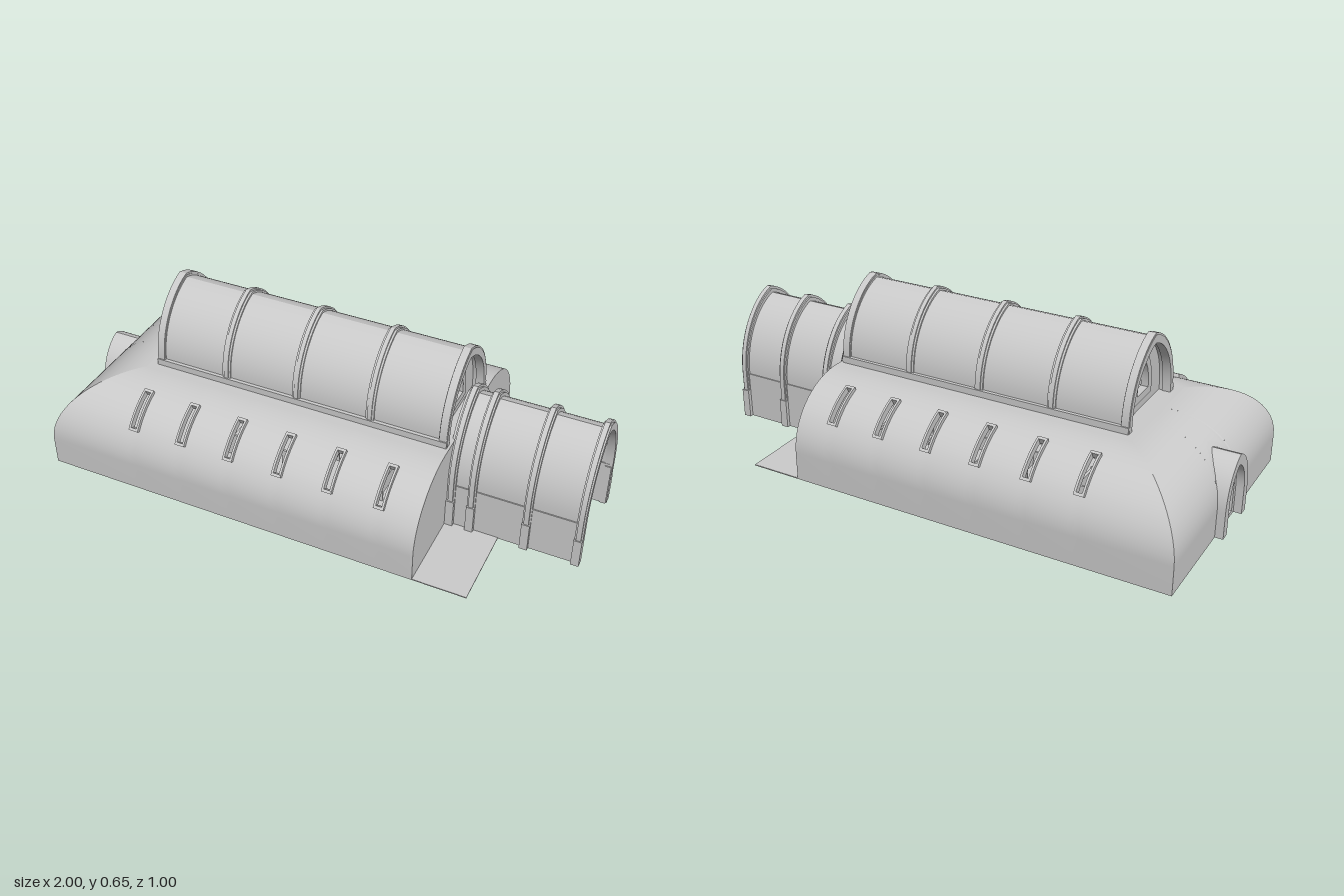
import * as THREE from 'three';
import { toCreasedNormals } from 'three/addons/utils/BufferGeometryUtils.js';

const mat = new THREE.MeshStandardMaterial({ color: 0xcccccc, side: THREE.DoubleSide });

function add(parent, name, geometry) {
  const mesh = new THREE.Mesh(geometry, mat);
  mesh.name = name;
  parent.add(mesh);
  return mesh;
}

// Box given by its limits on each axis
function box(parent, name, x0, x1, y0, y1, z0, z1) {
  const g = new THREE.BoxGeometry(x1 - x0, y1 - y0, z1 - z0);
  g.translate((x0 + x1) / 2, (y0 + y1) / 2, (z0 + z1) / 2);
  return add(parent, name, g);
}

// Half of a pointed arch, from springing line to apex
function halfArch(w, spring, apex, n = 14) {
  const h = apex - spring;
  return new THREE.CubicBezierCurve(
    new THREE.Vector2(w, spring), new THREE.Vector2(w, spring + 0.55 * h),
    new THREE.Vector2(w * 0.47, apex - 0.08 * h), new THREE.Vector2(0, apex)).getPoints(n);
}

// Whole pointed arch outline, standing on base
function arch(w, spring, apex, base = spring) {
  const half = halfArch(w, spring, apex);
  const right = base < spring ? [new THREE.Vector2(w, base), ...half] : half;
  const left = right.slice(0, -1).reverse().map(p => new THREE.Vector2(-p.x, p.y));
  return [...right, ...left];
}

// Extrude a (z, y) outline along x
function extrudeX(parent, name, pts, x0, x1, holes = []) {
  const shape = new THREE.Shape(pts.map(p => new THREE.Vector2(-p.x, p.y)));
  for (const h of holes) shape.holes.push(new THREE.Path(h.map(p => new THREE.Vector2(-p.x, p.y))));
  const g = new THREE.ExtrudeGeometry(shape, { depth: x1 - x0, bevelEnabled: false });
  g.rotateY(Math.PI / 2).translate(x0, 0, 0);
  return add(parent, name, toCreasedNormals(g, 0.5));
}

const archBand = (parent, name, outer, inner, x0, x1) =>
  extrudeX(parent, name, [...arch(...outer), ...arch(...inner).reverse()], x0, x1);

const rect = (z0, z1, y0, y1) =>
  [[z0, y0], [z1, y0], [z1, y1], [z0, y1]].map(p => new THREE.Vector2(...p));

// Smooth sheet from rows of points, with optional cells left out
function sheet(parent, name, nu, nv, at, skip = () => false) {
  const pos = [], idx = [];
  for (let i = 0; i <= nu; i++) for (let j = 0; j <= nv; j++) pos.push(...at(i, j));
  for (let i = 0; i < nu; i++) for (let j = 0; j < nv; j++) {
    if (skip(i, j)) continue;
    const a = i * (nv + 1) + j, b = a + nv + 1;
    idx.push(a, b, a + 1, b, b + 1, a + 1);
  }
  const g = new THREE.BufferGeometry();
  g.setAttribute('position', new THREE.Float32BufferAttribute(pos, 3));
  g.setIndex(idx);
  g.computeVertexNormals();
  return add(parent, name, g);
}

// Hall section: upright wall, then a quarter ellipse up to the flat roof
const BACK = -0.97, FRONT = 0.5, HALF = 0.5, WALL = 0.11, TOP = 0.355, RUN = 0.27, RISE = TOP - WALL;
const inset = y => y <= WALL ? 0 : RUN * (1 - Math.sqrt(Math.max(0, 1 - ((y - WALL) / RISE) ** 2)));
const SLOT0 = 0.58, SLOT1 = 1.15;
const angles = [];
for (let i = 0; i <= 5; i++) angles.push(SLOT0 * i / 5);
for (let i = 1; i <= 6; i++) angles.push(SLOT0 + (SLOT1 - SLOT0) * i / 6);
for (let i = 1; i <= 5; i++) angles.push(SLOT1 + (Math.PI / 2 - SLOT1) * i / 5);
const heights = [0, ...angles.map(a => WALL + RISE * Math.sin(a))];
const section = heights.map(y => [HALF - inset(y), y]);
const slots = [-0.62, -0.425, -0.23, -0.035, 0.16, 0.355];

function buildHall(group) {
  const hall = new THREE.Group();
  hall.name = 'hall';
  group.add(hall);
  box(hall, 'floor', BACK, 0.7, 0, 0.004, -HALF, HALF);

  // Side walls and roof, with window slots
  const full = [...section, ...section.slice().reverse().map(([z, y]) => [-z, y])];
  const xs = [0, ...slots.flatMap(x => [x - 0.017, x + 0.017]), FRONT];
  const n = full.length - 1;
  sheet(hall, 'roof', xs.length - 1, n,
    (i, j) => [i ? xs[i] : BACK + inset(full[j][1]), full[j][1], full[j][0]],
    (i, j) => { const k = Math.min(j, n - 1 - j); return i % 2 === 1 && k >= 6 && k < 12; });

  // Hipped back end, open behind the porch
  const lift = halfArch(0.1, 0.1, 0.262, 30);
  const archY = z => lift.reduce((a, p) => Math.abs(p.x - z) < Math.abs(a.x - z) ? p : a).y;
  for (const [u0, u1, open] of [[-1, -0.2, false], [-0.2, 0.2, true], [0.2, 1, false]]) {
    sheet(hall, 'backEnd', 16, heights.length - 1, (i, j) => {
      const u = u0 + (u1 - u0) * i / 16;
      const low = open ? archY(Math.abs(u) * 0.5) : 0;
      const y = low + heights[j] * (1 - low / TOP);
      return [BACK + inset(y), y, u * (HALF - inset(y))];
    });
  }

  // Front end wall on both sides of the passage
  const jamb = halfArch(0.165, 0.19, 0.46).filter(p => p.y < TOP);
  for (const s of [1, -1]) {
    const pts = [...section.map(([z, y]) => new THREE.Vector2(s * z, y)),
      new THREE.Vector2(s * 0.122, TOP),
      ...jamb.slice().reverse().map(p => new THREE.Vector2(s * p.x, p.y)),
      new THREE.Vector2(s * 0.165, 0)];
    extrudeX(hall, 'frontWall', pts, FRONT - 0.01, FRONT);
  }

  // Curved frames around the roof windows
  const strip = (s, a0, a1, d0, d1) => {
    const side = d => Array.from({ length: 9 }, (_, i) => {
      const a = a0 + (a1 - a0) * i / 8;
      return new THREE.Vector2(s * (HALF - RUN + (RUN + d) * Math.cos(a)), WALL + (RISE + d) * Math.sin(a));
    });
    return [...side(d1), ...side(d0).reverse()];
  };
  for (const x of slots) for (const s of [1, -1]) {
    for (const e of [-0.015, 0.015])
      extrudeX(hall, 'windowRail', strip(s, SLOT0 - 0.02, SLOT1 + 0.02, -0.012, 0.014), x + e - 0.004, x + e + 0.004);
    for (const a of [SLOT0, SLOT1])
      extrudeX(hall, 'windowEnd', strip(s, a - 0.02, a + 0.02, -0.012, 0.014), x - 0.015, x + 0.015);
  }
}

function buildUpperVault(group) {
  const vault = new THREE.Group();
  vault.name = 'upperVault';
  group.add(vault);
  archBand(vault, 'vaultShell', [0.187, 0.375, 0.635, 0.35], [0.175, 0.375, 0.618, 0.35], -0.66, 0.48);
  for (const s of [1, -1])
    box(vault, 'sill', -0.67, 0.49, 0.35, 0.38, s * 0.19 - 0.01, s * 0.19 + 0.01);

  // Ribs: a broad band with a narrow raised one
  for (const x of [-0.655, -0.378, -0.092, 0.197, 0.475]) {
    const end = Math.abs(x) > 0.4;
    archBand(vault, 'rib', [0.192, 0.375, 0.643, 0.35], [0.17, 0.375, 0.612, 0.35], x - 0.016, x + 0.016);
    archBand(vault, 'ribCrest', [0.196, 0.375, 0.65, 0.35], [0.17, 0.375, 0.612, 0.35],
      x - (end ? 0.014 : 0.008), x + (end ? 0.014 : 0.008));
  }

  // Gables with a pointed window at each end
  for (const s of [1, -1]) {
    const x = s > 0 ? 0.44 : -0.62;
    const hole = arch(0.047, 0.42, 0.537);
    extrudeX(vault, 'gable', arch(0.178, 0.375, 0.62, 0.35), x - 0.006, x + 0.006, [hole]);
    extrudeX(vault, 'gableWindowFrame', arch(0.076, 0.42, 0.57, 0.392), x - 0.014, x + 0.014, [hole]);
  }
}

function buildPassage(group) {
  const passage = new THREE.Group();
  passage.name = 'entrancePassage';
  group.add(passage);
  archBand(passage, 'passageVault', [0.178, 0.19, 0.473, 0.17], [0.166, 0.19, 0.46, 0.17], 0.49, 0.99);
  for (const s of [1, -1])
    box(passage, 'lowerWall', 0.49, 0.99, 0, 0.185, s * 0.172 - 0.01, s * 0.172 + 0.01);
  for (const x of [0.515, 0.592, 0.797, 0.985]) {
    archBand(passage, 'rib', [0.186, 0.19, 0.488, 0], [0.163, 0.19, 0.457, 0], x - 0.015, x + 0.015);
    archBand(passage, 'ribCrest', [0.192, 0.19, 0.498, 0.1], [0.163, 0.19, 0.457, 0.1], x - 0.009, x + 0.009);
    for (const s of [1, -1]) {
      box(passage, 'ribFoot', x - 0.015, x + 0.015, 0, 0.115, s * 0.187 - 0.009, s * 0.187 + 0.009);
      box(passage, 'innerPilaster', x - 0.012, x + 0.012, 0, 0.175, s * 0.164 - 0.006, s * 0.164 + 0.006);
    }
  }
}

function buildPorch(group) {
  const porch = new THREE.Group();
  porch.name = 'backPorch';
  group.add(porch);
  archBand(porch, 'porchArch', [0.112, 0.1, 0.277, 0], [0.076, 0.1, 0.235, 0], -1, -0.895);

  // Door leaf with upper lights and lower panels
  const holes = [];
  for (const s of [1, -1]) {
    holes.push([[0.011, 0.152], [0.05, 0.152], [0.042, 0.178], [0.028, 0.195], [0.011, 0.204]]
      .map(([z, y]) => new THREE.Vector2(s * z, y)));
    holes.push(rect(s * 0.011, s * 0.055, 0.015, 0.132));
  }
  extrudeX(porch, 'doorFrame', arch(0.077, 0.1, 0.236, 0), -0.97, -0.945, holes);
  extrudeX(porch, 'doorPanel', arch(0.07, 0.1, 0.228, 0.004), -0.96, -0.955);
}

function buildFurniture(group) {
  const inside = new THREE.Group();
  inside.name = 'furniture';
  group.add(inside);
  // Two columns of benches along the aisle
  for (let i = 0; i < 8; i++) for (const s of [1, -1]) {
    const x = -0.48 + i * 0.12, z = s * 0.11;
    box(inside, 'benchBack', x, x + 0.01, 0.038, 0.093, z - 0.068, z + 0.068);
    box(inside, 'benchSeat', x - 0.045, x, 0.038, 0.046, z - 0.068, z + 0.068);
    for (const e of [-0.068, 0.068])
      box(inside, 'benchEnd', x - 0.045, x + 0.01, 0.004, 0.1, z + e - 0.004, z + e + 0.004);
  }
  // Stepped pedestal
  box(inside, 'pedestalFoot', -0.73, -0.68, 0.004, 0.02, -0.024, 0.024);
  box(inside, 'pedestalBody', -0.725, -0.685, 0.02, 0.064, -0.019, 0.019);
  box(inside, 'pedestalTop', -0.73, -0.68, 0.064, 0.078, -0.022, 0.022);
}

export function createModel() {
  const group = new THREE.Group();
  group.name = 'vaultedHall';
  buildHall(group);
  buildUpperVault(group);
  buildPassage(group);
  buildPorch(group);
  buildFurniture(group);
  return group;
}
